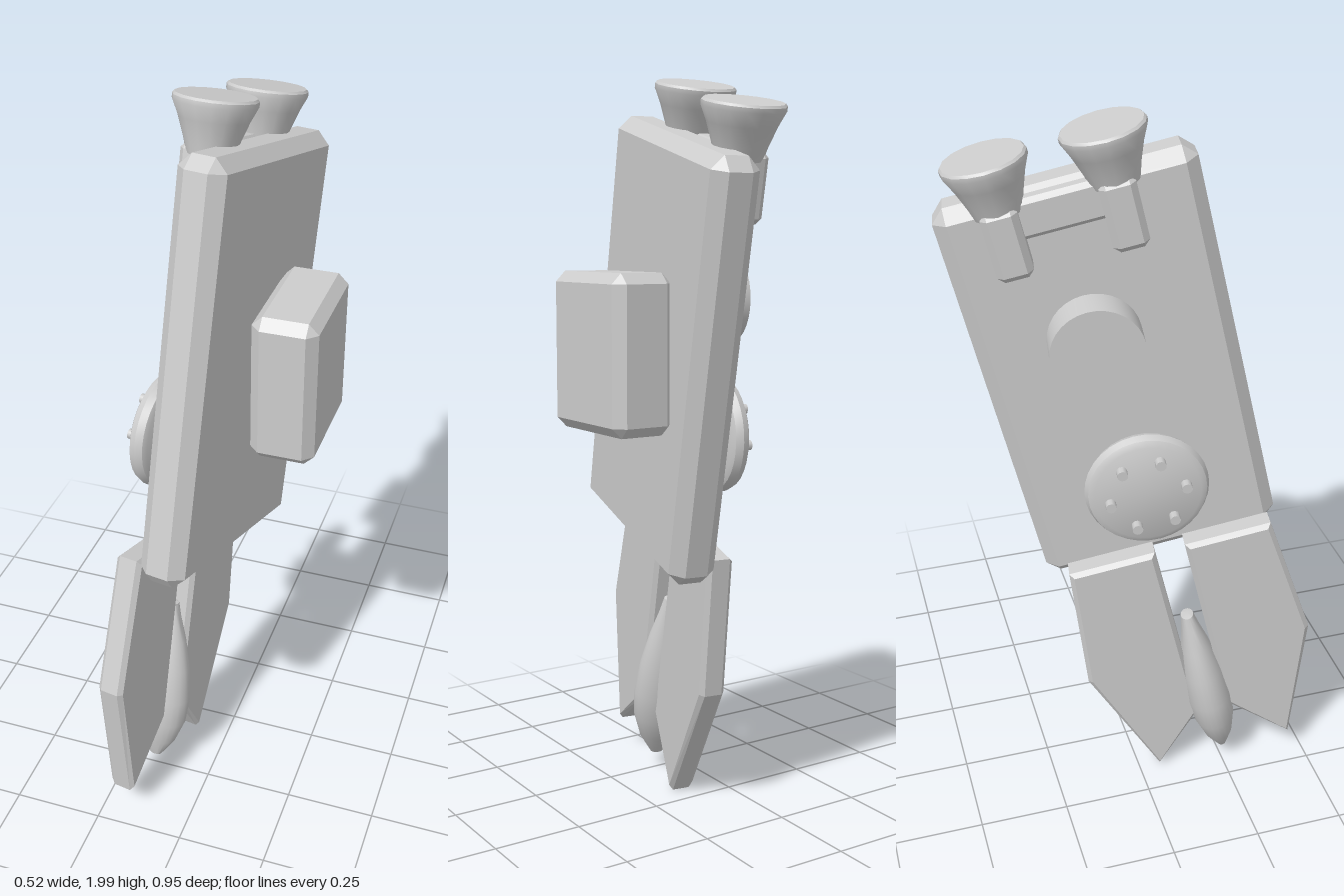
import * as THREE from 'three';
import { toCreasedNormals } from 'three/addons/utils/BufferGeometryUtils.js';
import { ConvexGeometry } from 'three/addons/geometries/ConvexGeometry.js';

export function createModel() {
  const model = new THREE.Group();
  model.name = 'thrusterPack';
  const grey = new THREE.MeshStandardMaterial({ color: 0xcccccc });
  grey.name = 'light grey';

  function add(parent, name, geometry, x = 0, y = 0, z = 0) {
    const mesh = new THREE.Mesh(geometry, grey);
    mesh.name = name;
    mesh.position.set(x, y, z);
    parent.add(mesh);
    return mesh;
  }

  // Box with every edge and corner cut by c
  function chamferBox(w, h, d, c) {
    const points = [];
    for (const sx of [-1, 1]) for (const sy of [-1, 1]) for (const sz of [-1, 1]) {
      const [x, y, z] = [w / 2, h / 2, d / 2];
      points.push(
        new THREE.Vector3(sx * x, sy * (y - c), sz * (z - c)),
        new THREE.Vector3(sx * (x - c), sy * y, sz * (z - c)),
        new THREE.Vector3(sx * (x - c), sy * (y - c), sz * z));
    }
    return new ConvexGeometry(points);
  }

  // Turned part from [radius, height] pairs, bottom to top
  function turned(profile, sides) {
    const points = profile.map(([r, y]) => new THREE.Vector2(r, y));
    return toCreasedNormals(new THREE.LatheGeometry(points, sides), 0.6);
  }

  // Everything but the side box sits in this leaning frame
  const pack = new THREE.Group();
  pack.name = 'leaningPack';
  pack.position.set(-0.01, 1.3, -0.03);
  pack.rotation.set(-0.229, -0.163, 0, 'YXZ');
  model.add(pack);

  add(pack, 'backPlate', chamferBox(0.13, 1.11, 0.65, 0.034));

  // Side box, upright
  add(model, 'sideBox', chamferBox(0.172, 0.41, 0.336, 0.027), 0.16, 1.295, -0.04);

  // Nozzles with their mounts
  for (const z of [0.121, -0.162]) {
    add(pack, 'nozzle', turned([[0, 0], [0.06, 0], [0.07, 0.035], [0.088, 0.085],
      [0.105, 0.122], [0.105, 0.134], [0.1, 0.14], [0, 0.14]], 16), -0.07, 0.525, z);
    add(pack, 'nozzleMount', chamferBox(0.09, 0.18, 0.09, 0.016), -0.092, 0.46, z);
  }
  add(pack, 'mountBar', chamferBox(0.05, 0.1, 0.28, 0.012), -0.075, 0.5, -0.02);

  // Round cap on the inner face
  const cap = turned([[0, 0], [0.12, 0], [0.12, 0.1], [0, 0.1]], 32);
  add(pack, 'roundCap', cap.rotateZ(Math.PI / 2), -0.06, 0.14, -0.025);

  // Studded dial on a short hub
  const dial = new THREE.Group();
  dial.name = 'dial';
  dial.position.set(-0.185, -0.257, 0.004);
  pack.add(dial);
  add(dial, 'dialDisc', turned([[0, -0.027], [0.14, -0.027], [0.154, -0.02], [0.162, 0],
    [0.154, 0.018], [0.138, 0.027], [0, 0.027]], 32).rotateZ(Math.PI / 2));
  add(dial, 'dialHub', new THREE.CylinderGeometry(0.06, 0.06, 0.11, 20).rotateZ(Math.PI / 2), 0.07);
  for (let i = 0; i < 6; i++) {
    const a = (i + 0.5) * Math.PI / 3;
    add(dial, 'stud', new THREE.CylinderGeometry(0.014, 0.014, 0.03, 10).rotateZ(Math.PI / 2),
      -0.036, Math.cos(a) * 0.1, Math.sin(a) * 0.1);
  }

  // Mirrored pair of fins, outlined as [z, y]
  const finOutline = [[0.3, -0.51], [0.06, -0.51], [0.06, -1.11], [0.217, -1.285], [0.343, -0.9]];
  const mid = 0.018;
  for (const side of [1, -1]) {
    const shape = new THREE.Shape(finOutline.map(([z, y]) =>
      new THREE.Vector2(mid + side * (z - mid), y)));
    const fin = new THREE.ExtrudeGeometry(shape, {
      depth: 0.05, bevelEnabled: true, bevelThickness: 0.012,
      bevelSize: 0.012, bevelOffset: -0.012, bevelSegments: 1,
    });
    fin.translate(0, 0, -0.025).rotateY(-Math.PI / 2);
    add(pack, side > 0 ? 'frontFin' : 'backFin', fin, -0.1);
  }

  // Flattened spindle between the fins
  const spindle = add(pack, 'spindle', turned([[0, -1.285], [0.014, -1.28], [0.042, -1.22],
    [0.06, -1.15], [0.065, -1.07], [0.057, -0.97], [0.042, -0.88], [0.026, -0.81],
    [0.018, -0.765], [0, -0.76]], 24), -0.105, 0, 0.016);
  spindle.scale.x = 1.35;

  return model;
}
